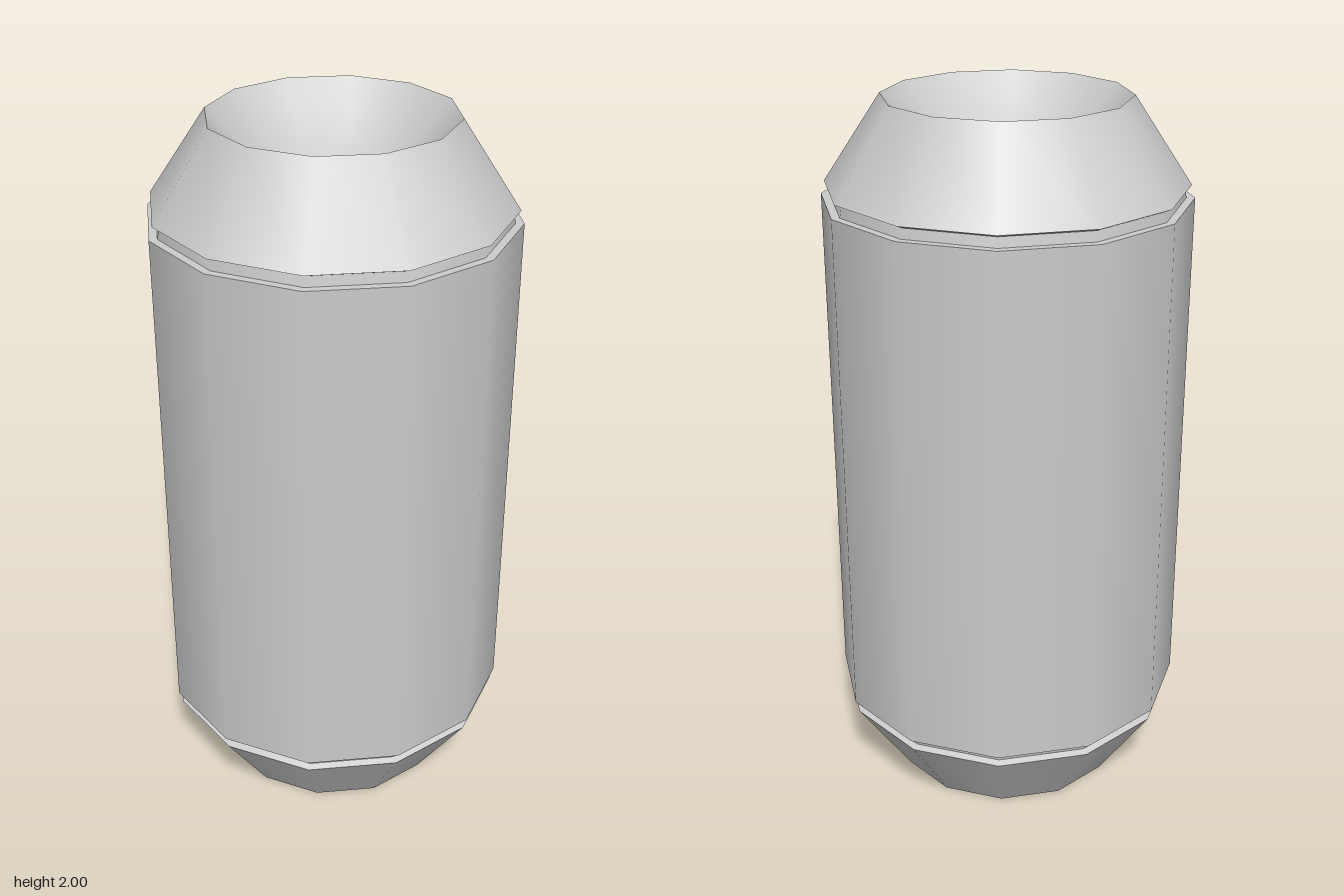
import * as THREE from 'three';

const SIDES = 12;

export function createModel() {
  const model = new THREE.Group();
  model.name = 'capsule';
  const material = new THREE.MeshStandardMaterial({ color: 0xcccccc });

  // Each band is a separate lathe, so edges between bands stay sharp.
  // Profiles run as [radius, height], bottom to top on the outside.
  const band = (name, profile) => {
    const points = profile.map(([r, y]) => new THREE.Vector2(r, y));
    const mesh = new THREE.Mesh(new THREE.LatheGeometry(points, SIDES), material);
    mesh.name = name;
    model.add(mesh);
  };
  const flip = (profile) => profile.map(([r, y]) => [r, 2 - y]).reverse();

  // Main barrel
  band('barrel', [[0.5, 0.27], [0.5, 1.73]]);

  // Dished recess, from its centre out to the rim
  const rim = 0.333, depth = 0.2, steps = 6;
  const dish = [];
  for (let i = 0; i <= steps; i++) {
    const t = i / steps;
    dish.push([rim * t, depth * (1 - t * t)]);
  }

  // Bottom end parts; the top end mirrors them
  const endParts = {
    Recess: dish,
    Taper: [[rim, 0], [0.49, 0.235]],
    Lip: [[0.49, 0.235], [0.472, 0.243]],
    Groove: [[0.472, 0.243], [0.477, 0.27]],
    Shoulder: [[0.477, 0.27], [0.5, 0.27]].reverse(),
  };
  for (const [name, profile] of Object.entries(endParts)) {
    // The shoulder faces outward along the axis, so it runs inner to outer
    const p = name === 'Shoulder' ? [...profile].reverse() : profile;
    band('bottom' + name, p);
    band('top' + name, flip(p));
  }

  return model;
}
